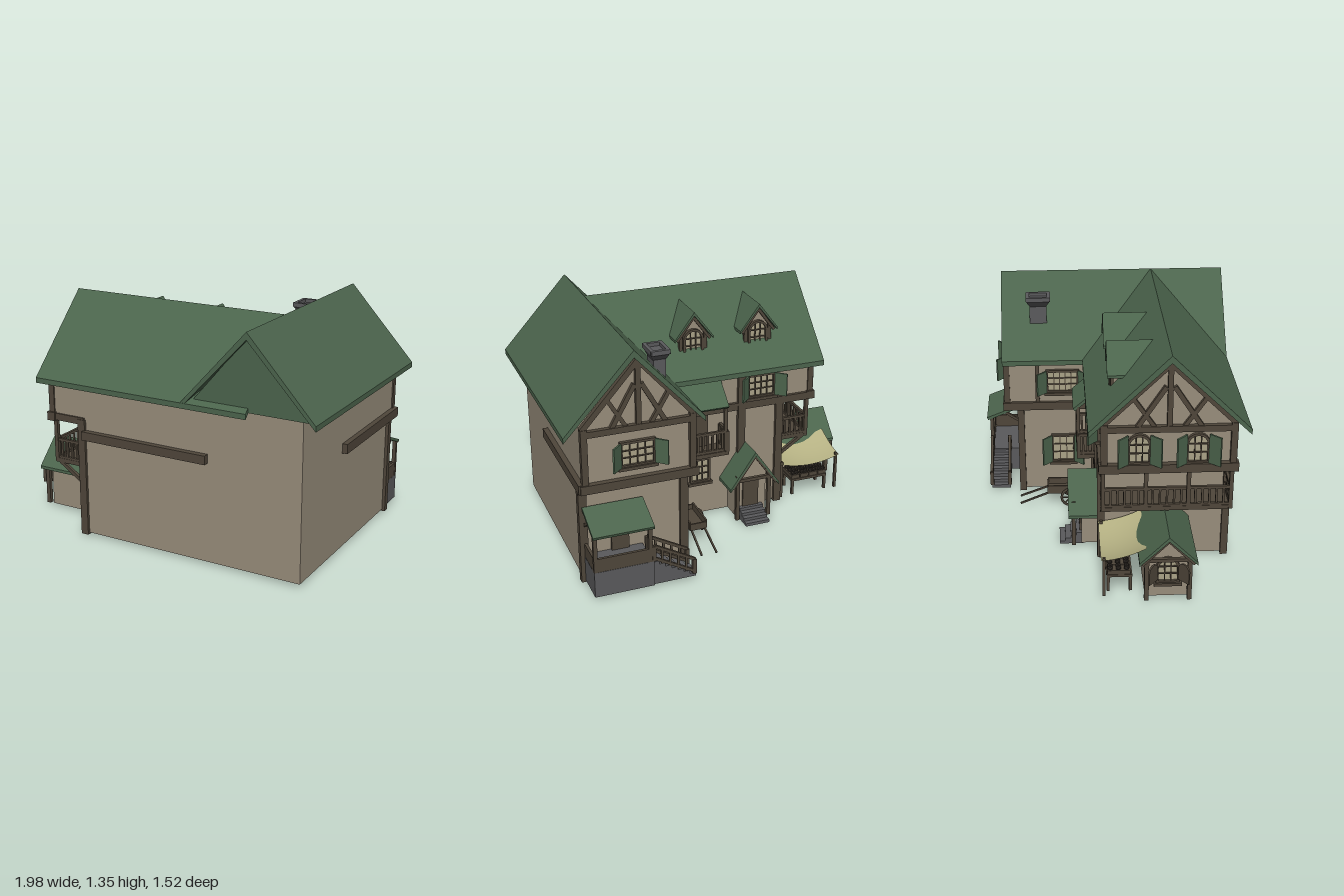
import * as THREE from 'three';

const mat = (c) => new THREE.MeshStandardMaterial({ color: c, side: THREE.DoubleSide });
const WALL = mat(0x988d7b), WOOD = mat(0x4f463a), GREEN = mat(0x4c654d), STONE = mat(0x5a5a5c),
  PANE = mat(0xaaa287), CLOTH = mat(0xb5b183), DARK = mat(0x2f2a25);
const V = (x, y, z) => new THREE.Vector3(x, y, z);

function add(parent, name, geo, material) {
  const m = new THREE.Mesh(geo, material);
  m.name = name;
  parent.add(m);
  return m;
}
// Box given by its limits
function box(p, name, m, x0, x1, y0, y1, z0, z1) {
  const b = add(p, name, new THREE.BoxGeometry(x1 - x0, y1 - y0, z1 - z0), m);
  b.position.set((x0 + x1) / 2, (y0 + y1) / 2, (z0 + z1) / 2);
  return b;
}
// Square beam between two points
function beam(p, name, a, b, t = 0.025, m = WOOD, w = t) {
  const o = new THREE.Mesh(new THREE.BoxGeometry(w, t, a.distanceTo(b)), m);
  o.name = name;
  o.position.copy(a).lerp(b, 0.5);
  o.lookAt(b);
  p.add(o);
  return o;
}
// Outline extruded along z, from z0 to z1
function prism(p, name, m, pts, z0, z1) {
  const s = new THREE.Shape(pts.map(([x, y]) => new THREE.Vector2(x, y)));
  const g = new THREE.ExtrudeGeometry(s, { depth: z1 - z0, bevelEnabled: false });
  return add(p, name, g.translate(0, 0, z0), m);
}
function place(parent, name, x, y, z, ry = 0) {
  const g = new THREE.Group();
  g.name = name;
  g.position.set(x, y, z);
  g.rotation.y = ry;
  parent.add(g);
  return g;
}
// Gabled roof slab, ridge along z
const gableRoof = (p, name, half, eave, ridge, z0, z1, t = 0.03) => prism(p, name, GREEN,
  [[-half, eave], [-half, eave + t], [0, ridge], [half, eave + t], [half, eave], [0, ridge - t * 1.4]], z0, z1);
// Sloping sheet roof, high at z = zh, low at z = zl
const leanRoof = (p, name, x0, x1, yh, zh, yl, zl, t = 0.018) =>
  beam(p, name, V((x0 + x1) / 2, yh, zh), V((x0 + x1) / 2, yl, zl), t, GREEN, x1 - x0);

function archShape(w, h, arched) {
  const s = new THREE.Shape();
  const top = arched ? h / 2 - w / 2 : h / 2;
  s.moveTo(-w / 2, -h / 2).lineTo(w / 2, -h / 2).lineTo(w / 2, top);
  if (arched) s.absarc(0, top, w / 2, 0, Math.PI, false);
  else s.lineTo(-w / 2, top);
  s.closePath();
  return s;
}
// Window facing +z: framed panes, glazing bars, optional open shutters
function windowUnit(parent, x, y, z, ry, w, h, { arched = false, shutters = false, cols = 3 } = {}) {
  const g = place(parent, 'window', x, y, z, ry), f = 0.014;
  const frame = archShape(w + 2 * f, h + 2 * f, arched);
  frame.holes.push(archShape(w, h, arched));
  add(g, 'windowFrame', new THREE.ExtrudeGeometry(frame, { depth: 0.02, bevelEnabled: false, curveSegments: 6 }), WOOD);
  add(g, 'windowPane', new THREE.ShapeGeometry(archShape(w, h, arched), 6), PANE).position.z = 0.006;
  for (let i = 1; i < cols; i++) {
    const bx = -w / 2 + (w * i) / cols;
    box(g, 'glazingBar', WOOD, bx - 0.003, bx + 0.003, -h / 2, h / 2 - (arched ? w * 0.08 : 0), 0, 0.014);
  }
  for (const by of [-h / 6, h / 6]) box(g, 'glazingBar', WOOD, -w / 2, w / 2, by - 0.003, by + 0.003, 0, 0.014);
  box(g, 'windowSill', WOOD, -w / 2 - 0.025, w / 2 + 0.025, -h / 2 - 0.028, -h / 2 - 0.01, 0, 0.03);
  if (shutters) for (const s of [-1, 1]) {
    const leaf = place(g, 'shutter', s * (w / 2 + f), 0, 0.015, -s * 0.75);
    box(leaf, 'shutterLeaf', GREEN, s > 0 ? 0 : -0.075, s > 0 ? 0.075 : 0, -h / 2 - 0.01, h / 2 + 0.01, 0, 0.01);
  }
}
// Railing with balusters between two floor points
function railing(p, a, b, h, n) {
  for (const y of [0.015, h]) beam(p, 'rail', a.clone().setY(a.y + y), b.clone().setY(b.y + y), 0.016);
  for (let i = 0; i <= n; i++) {
    const q = a.clone().lerp(b, i / n), t = i % n ? 0.006 : 0.011;
    box(p, 'baluster', WOOD, q.x - t, q.x + t, q.y, q.y + h, q.z - t, q.z + t);
  }
}
// Timber framing of a gable facing +z
function gableTimbers(parent, x, z, ry, half, low, ridge) {
  const g = place(parent, 'gableTimbers', x, 0, z, ry), z0 = 0.008;
  beam(g, 'tieBeam', V(-half, 0.92, z0), V(half, 0.92, z0), 0.035);
  beam(g, 'floorBeam', V(-half - 0.02, low, z0), V(half + 0.02, low, z0), 0.05);
  beam(g, 'kingPost', V(0, 0.92, z0), V(0, ridge - 0.05, z0), 0.028);
  for (const s of [-1, 1]) {
    beam(g, 'cornerPost', V(s * (half - 0.01), low, z0), V(s * (half - 0.01), 0.95, z0), 0.035);
    beam(g, 'rafter', V(s * half, 0.945, z0), V(0, ridge - 0.06, z0), 0.03);
    beam(g, 'brace', V(s * half * 0.5, 0.92, z0), V(s * half * 0.06, 1.16, z0), 0.025);
    beam(g, 'strut', V(s * half * 0.2, 0.92, z0), V(s * half * 0.55, 1.1, z0), 0.022);
  }
}

function dormer(house, x) {
  const g = place(house, 'dormer', x, 0, 0);
  prism(g, 'dormerWall', WALL, [[-0.08, 0.98], [0.08, 0.98], [0.08, 1.16], [0, 1.255], [-0.08, 1.16]], 0.015, 0.2);
  gableRoof(g, 'dormerRoof', 0.117, 1.115, 1.285, -0.02, 0.235, 0.016);
  for (const s of [-1, 1]) {
    beam(g, 'dormerPost', V(s * 0.075, 0.98, 0.01), V(s * 0.075, 1.15, 0.01), 0.02);
    beam(g, 'dormerRafter', V(s * 0.1, 1.115, 0), V(0, 1.25, 0), 0.016);
  }
  box(g, 'dormerSill', WOOD, -0.095, 0.095, 0.98, 1.02, -0.02, 0.03);
  windowUnit(g, 0, 1.1, 0.013, Math.PI, 0.095, 0.13, { arched: true });
}

function cart(house) {
  const g = place(house, 'cart', 0.14, 0, -0.24);
  box(g, 'cartBed', WOOD, -0.05, 0.05, 0.085, 0.1, -0.11, 0.11);
  for (const s of [-1, 1]) {
    box(g, 'cartSide', WOOD, s * 0.05 - 0.005, s * 0.05 + 0.005, 0.09, 0.14, -0.11, 0.11);
    box(g, 'cartEnd', WOOD, -0.05, 0.05, 0.09, 0.13, s * 0.11 - 0.005, s * 0.11 + 0.005);
    beam(g, 'cartShaft', V(s * 0.04, 0.09, -0.1), V(s * 0.045, 0.02, -0.28), 0.01);
    const wheel = place(g, 'wheel', s * 0.066, 0.066, 0.03, Math.PI / 2);
    add(wheel, 'rim', new THREE.TorusGeometry(0.058, 0.008, 5, 16), WOOD);
    for (let i = 0; i < 4; i++) {
      const a = (i * Math.PI) / 4, c = Math.cos(a) * 0.055, d = Math.sin(a) * 0.055;
      beam(wheel, 'spoke', V(-c, -d, 0), V(c, d, 0), 0.007);
    }
  }
  beam(g, 'axle', V(-0.066, 0.066, 0.03), V(0.066, 0.066, 0.03), 0.014);
}

// Sagging cloth awning over a market table
function marketStall(house) {
  const g = place(house, 'marketStall', 0, 0, 0);
  const cloth = new THREE.PlaneGeometry(0.4, 0.24, 8, 6).rotateX(-Math.PI / 2);
  const p = cloth.attributes.position;
  for (let i = 0; i < p.count; i++) {
    const u = p.getX(i) / 0.2, v = p.getZ(i) / 0.12;
    p.setY(i, 0.285 + 0.035 * v - 0.035 * (1 - u * u) - 0.015 * (1 - v * v));
  }
  cloth.computeVertexNormals();
  add(g, 'awning', cloth, CLOTH).position.set(-0.705, 0, 0.05);
  for (const x of [-0.89, -0.52]) beam(g, 'awningPole', V(x, 0.02, -0.055), V(x, 0.26, -0.055), 0.016);
  box(g, 'tableTop', WOOD, -0.84, -0.6, 0.1, 0.115, -0.04, 0.1);
  for (const x of [-0.83, -0.61]) for (const z of [-0.03, 0.09]) box(g, 'tableLeg', WOOD, x - 0.008, x + 0.008, 0.01, 0.1, z - 0.008, z + 0.008);
  for (let i = 0; i < 4; i++) {
    const x = -0.81 + i * 0.06;
    box(g, 'crate', WOOD, x - 0.027, x + 0.027, 0.115, 0.14, -0.035, 0.09);
    for (let j = 0; j < 6; j++) add(g, 'produce', new THREE.IcosahedronGeometry(0.016, 0), DARK)
      .position.set(x - 0.012 + (j % 2) * 0.024, 0.148, -0.02 + Math.floor(j / 2) * 0.045);
  }
}

export function createModel() {
  const model = new THREE.Group();
  const house = place(model, 'house', 0, 0, 0, 0.042);

  // Main wing: ridge along x, upper floor overhanging at the left end
  box(house, 'mainGroundFloor', WALL, -0.49, 0.4, 0.02, 0.72, -0.055, 0.65);
  const main = place(house, 'mainWing', 0, 0, 0.297, Math.PI / 2);
  prism(main, 'mainUpperFloor', WALL, [[-0.353, 0.69], [0.353, 0.69], [0.353, 0.94], [0, 1.3], [-0.353, 0.94]], -0.68, 0.57);
  gableRoof(main, 'mainRoof', 0.428, 0.895, 1.35, -0.737, 0.583);
  gableTimbers(house, -0.68, 0.297, -Math.PI / 2, 0.353, 0.69, 1.35);

  // Cross wing: ridge along z
  box(house, 'wingGroundFloor', WALL, 0.29, 0.87, 0.02, 0.62, -0.505, 0.65);
  prism(house, 'wingUpperFloor', WALL, [[0.255, 0.6], [0.87, 0.6], [0.87, 0.94], [0.583, 1.3], [0.255, 0.93]], -0.575, 0.65);
  const wing = place(house, 'wingRoofGroup', 0.583, 0, 0);
  gableRoof(wing, 'wingRoof', 0.387, 0.895, 1.35, -0.604, 0.724);
  prism(wing, 'frontGablePanel', GREEN, [[-0.34, 0.925], [0.34, 0.925], [0, 1.32]], 0.64, 0.7);
  gableTimbers(house, 0.5625, -0.575, Math.PI, 0.308, 0.61, 1.35);

  // Posts and floor bands
  for (const [x, z, h] of [[-0.485, 0.645, 0.7], [-0.485, -0.055, 0.7], [0.29, -0.505, 0.6], [0.865, -0.51, 0.6], [-0.24, -0.058, 0.92], [0.285, -0.06, 0.9]])
    box(house, 'post', WOOD, x - 0.023, x + 0.023, 0.01, h, z - 0.02, z + 0.02);
  box(house, 'frontBand', WOOD, -0.47, 0.32, 0.59, 0.64, 0.64, 0.685);
  box(house, 'sideBand', WOOD, 0.86, 0.9, 0.585, 0.64, -0.6, 0.15);
  box(house, 'backBand', WOOD, -0.69, 0.27, 0.665, 0.71, -0.075, -0.04);
  box(house, 'innerBand', WOOD, 0.235, 0.27, 0.585, 0.635, -0.59, -0.05);
  box(house, 'innerTopBand', WOOD, 0.24, 0.27, 0.885, 0.915, -0.58, -0.05);
  for (const z of [-0.4, -0.1]) box(house, 'innerPost', WOOD, 0.243, 0.27, 0.6, 0.9, z - 0.012, z + 0.012);
  box(house, 'backTopBand', WOOD, -0.68, 0.27, 0.89, 0.92, -0.07, -0.04);

  // Side gallery under the overhang
  box(house, 'galleryFloor', WOOD, -0.68, -0.48, 0.415, 0.44, -0.06, 0.65);
  box(house, 'galleryCeiling', WOOD, -0.69, -0.47, 0.67, 0.71, -0.065, 0.66);
  railing(house, V(-0.67, 0.43, -0.05), V(-0.67, 0.43, 0.64), 0.12, 18);
  for (const z of [-0.05, 0.64]) railing(house, V(-0.67, 0.43, z), V(-0.5, 0.43, z), 0.12, 5);
  for (const z of [-0.05, 0.18, 0.41, 0.64]) {
    box(house, 'galleryPost', WOOD, -0.682, -0.66, 0.42, 0.69, z - 0.011, z + 0.011);
    beam(house, 'galleryBracket', V(-0.5, 0.32, z), V(-0.65, 0.42, z), 0.02);
  }

  // Windows
  const B = Math.PI, L = -Math.PI / 2;
  windowUnit(house, -0.365, 0.8, -0.055, B, 0.15, 0.12, { shutters: true, cols: 4 });
  windowUnit(house, 0.02, 0.31, -0.055, B, 0.1, 0.13);
  windowUnit(house, 0.57, 0.77, -0.575, B, 0.17, 0.12, { shutters: true, cols: 4 });
  windowUnit(house, 0.255, 0.77, -0.25, L, 0.17, 0.12, { shutters: true, cols: 5 });
  windowUnit(house, 0.29, 0.3, -0.25, L, 0.12, 0.16, { shutters: true });
  for (const z of [0.14, 0.45]) windowUnit(house, -0.68, 0.8, z, L, 0.1, 0.15, { arched: true, shutters: true });

  for (const x of [-0.365, 0.035]) dormer(house, x);

  // Chimney with flared cap
  const ch = place(house, 'chimney', 0.39, 0, -0.385);
  box(ch, 'chimneyStack', STONE, -0.035, 0.035, 1.03, 1.22, -0.05, 0.05);
  const cap = add(ch, 'chimneyCap', new THREE.CylinderGeometry(0.075, 0.05, 0.04, 4).rotateY(Math.PI / 4).scale(1, 1, 1.35), STONE);
  cap.position.y = 1.225;
  for (const s of [-1, 1]) {
    box(ch, 'capRim', STONE, s * 0.045 - 0.01, s * 0.045 + 0.01, 1.24, 1.265, -0.07, 0.07);
    box(ch, 'capRim', STONE, -0.05, 0.05, 1.24, 1.265, s * 0.062 - 0.01, s * 0.062 + 0.01);
  }

  // Covered balcony in the inner corner
  box(house, 'balconyFloor', WOOD, -0.12, 0.17, 0.44, 0.465, -0.175, -0.05);
  railing(house, V(-0.11, 0.46, -0.165), V(0.16, 0.46, -0.165), 0.13, 9);
  railing(house, V(-0.11, 0.46, -0.165), V(-0.11, 0.46, -0.06), 0.13, 4);
  railing(house, V(0.16, 0.46, -0.165), V(0.16, 0.46, -0.06), 0.13, 4);
  leanRoof(house, 'balconyRoof', -0.11, 0.17, 0.87, -0.05, 0.75, -0.19);
  for (const x of [-0.1, 0.155]) box(house, 'balconyPost', WOOD, x - 0.01, x + 0.01, 0.45, 0.77, -0.175, -0.155);
  box(house, 'balconyDoor', WOOD, -0.03, 0.08, 0.46, 0.7, -0.065, -0.05);

  // Gabled entrance porch with steps
  const porch = place(house, 'entrancePorch', -0.265, 0, 0);
  prism(porch, 'entranceWall', WALL, [[-0.1, 0.02], [0.1, 0.02], [0.1, 0.28], [0, 0.42], [-0.1, 0.28]], -0.16, -0.05);
  gableRoof(porch, 'entranceRoof', 0.155, 0.215, 0.455, -0.235, -0.05, 0.018);
  box(porch, 'entranceDoor', WOOD, -0.05, 0.05, 0.07, 0.25, -0.17, -0.155);
  for (const s of [-1, 1]) {
    box(porch, 'entrancePost', WOOD, s * 0.1 - 0.011, s * 0.1 + 0.011, 0.01, 0.3, -0.215, -0.193);
    beam(porch, 'entranceRafter', V(s * 0.14, 0.235, -0.222), V(0, 0.43, -0.222), 0.02);
  }
  beam(porch, 'entranceTie', V(-0.11, 0.27, -0.205), V(0.11, 0.27, -0.205), 0.02);
  for (let i = 0; i < 4; i++) box(porch, 'entranceStep', STONE, -0.075, 0.075, 0, 0.018 + i * 0.018, -0.285 + i * 0.032, -0.15);

  // Raised back porch with side stairs
  const bp = place(house, 'backPorch', 0, 0, 0);
  box(bp, 'porchBase', STONE, 0.53, 0.865, 0.02, 0.17, -0.71, -0.5);
  for (let i = 0; i < 7; i++) box(bp, 'porchStair', STONE, 0.29 + i * 0.035, 0.54, 0.02 + i * 0.02, 0.04 + i * 0.02, -0.7, -0.585);
  box(bp, 'parapet', WOOD, 0.545, 0.865, 0.17, 0.25, -0.708, -0.692);
  box(bp, 'parapet', WOOD, 0.848, 0.864, 0.17, 0.25, -0.7, -0.51);
  for (const x of [0.55, 0.855]) box(bp, 'porchPost', WOOD, x - 0.011, x + 0.011, 0.17, 0.39, -0.71, -0.688);
  leanRoof(bp, 'porchRoof', 0.53, 0.87, 0.465, -0.525, 0.385, -0.725);
  for (const x of [0.55, 0.855]) beam(bp, 'porchBrace', V(x, 0.35, -0.51), V(x, 0.42, -0.61), 0.016);
  add(bp, 'porchDoor', new THREE.ExtrudeGeometry(archShape(0.1, 0.21, true), { depth: 0.015, bevelEnabled: false }), WOOD).position.set(0.66, 0.275, -0.522);
  for (const z of [-0.7, -0.59]) railing(bp, V(0.3, 0.04, z), V(0.53, 0.17, z), 0.09, 5);

  // Side shed, ridge along x
  const shed = place(house, 'shed', 0, 0, 0.283, Math.PI / 2);
  prism(shed, 'shedWall', WALL, [[-0.12, 0.02], [0.12, 0.02], [0.12, 0.27], [0, 0.395], [-0.12, 0.27]], -0.905, -0.48);
  gableRoof(shed, 'shedRoof', 0.155, 0.245, 0.42, -0.965, -0.48, 0.018);
  const end = place(house, 'shedEnd', -0.905, 0, 0.283, L);
  for (const s of [-1, 1]) {
    box(end, 'shedPost', WOOD, s * 0.115 - 0.012, s * 0.115 + 0.012, 0.02, 0.28, 0.02, 0.045);
    beam(end, 'shedRafter', V(s * 0.14, 0.25, 0.045), V(0, 0.395, 0.045), 0.018);
    const leaf = place(end, 'archedShutter', s * 0.06, 0.195, 0.02, -s * 0.85);
    add(leaf, 'archedLeaf', new THREE.ExtrudeGeometry(archShape(0.075, 0.11, true), { depth: 0.01, bevelEnabled: false }), WOOD).position.x = s * 0.04;
  }
  beam(end, 'shedTie', V(-0.125, 0.27, 0.035), V(0.125, 0.27, 0.035), 0.02);
  windowUnit(end, 0, 0.19, 0, 0, 0.1, 0.13, { arched: true });

  marketStall(house);
  cart(house);
  return model;
}
